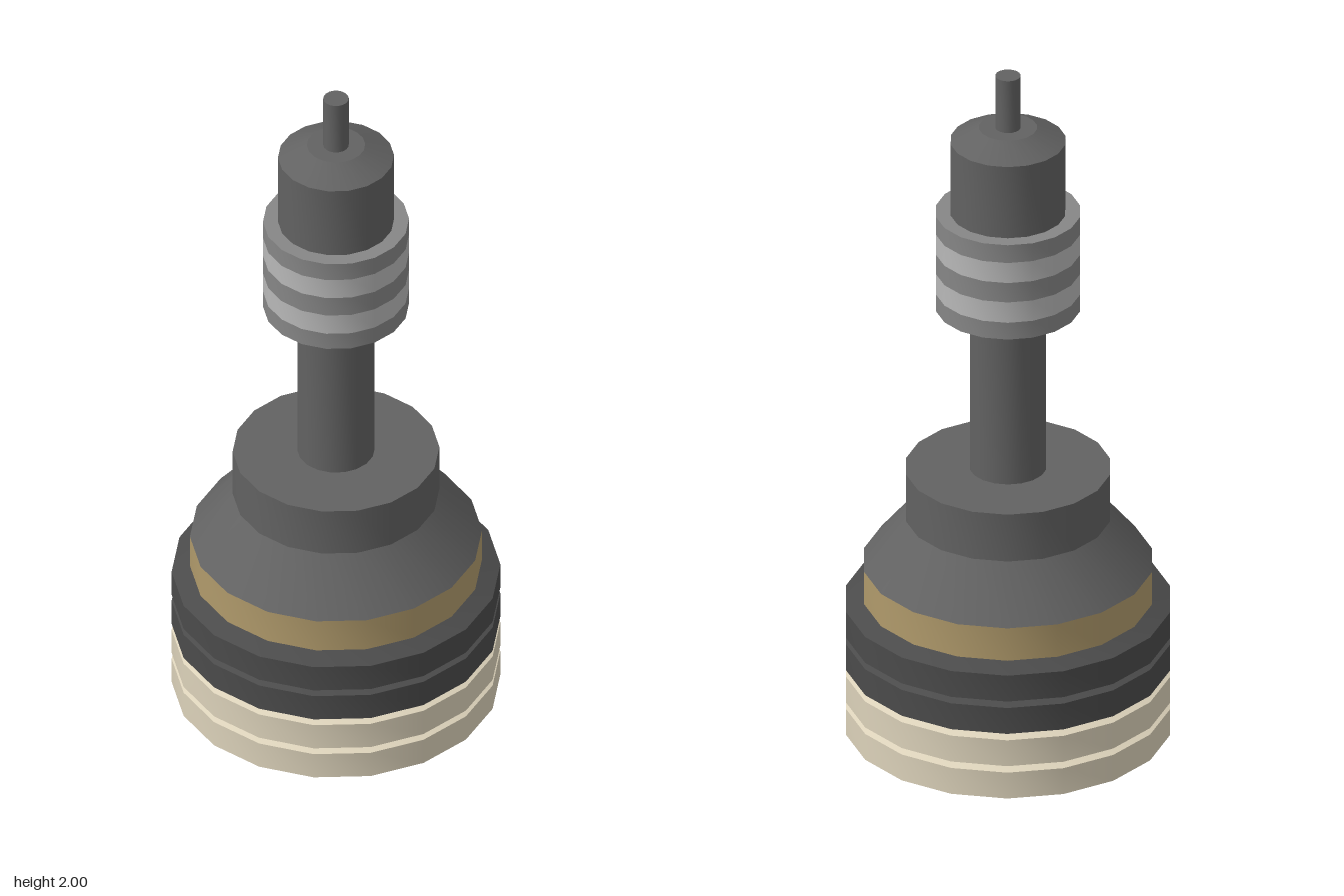
import * as THREE from 'three';
import { toCreasedNormals } from 'three/addons/utils/BufferGeometryUtils.js';

const SIDES = 18;

function material(name, color) {
  const m = new THREE.MeshStandardMaterial({ color });
  m.name = name;
  return m;
}

// Turned part: profile points [radius, height] run from bottom to top.
function turned(name, mat, profile) {
  const points = profile.map(([r, y]) => new THREE.Vector2(r, y));
  const lathe = new THREE.LatheGeometry(points, SIDES, Math.PI / 2);
  const mesh = new THREE.Mesh(toCreasedNormals(lathe, 0.42), mat);
  mesh.name = name;
  return mesh;
}

export function createModel() {
  const group = new THREE.Group();
  group.name = 'turnedSpindle';

  const body = material('body grey', 0x626262);
  const dark = material('dark grey', 0x4b4b4b);
  const cream = material('cream', 0xdcd2ba);
  const gold = material('dull gold', 0xb09a6b);
  const mid = material('mid grey', 0x868686);
  const light = material('light grey', 0xb8b8b8);

  // Base: four stacked discs with bevelled tops that leave narrow grooves
  [cream, cream, dark, dark].forEach((mat, i) => {
    const y = i * 0.1;
    group.add(turned(`baseDisc${i + 1}`, mat, [
      [i === 0 ? 0 : 0.4, y], [0.45, y], [0.45, y + 0.08], [0.4, y + 0.1],
    ]));
  });

  // Gold ring, sloping shoulder and hub
  group.add(turned('goldRing', gold, [[0.4, 0.4], [0.4, 0.5]]));
  group.add(turned('shoulder', body, [[0.4, 0.5], [0.28, 0.645]]));
  group.add(turned('hub', body, [[0.283, 0.645], [0.283, 0.79], [0.1, 0.79]]));

  // Stem and the flare under the collar
  group.add(turned('stem', body, [[0.106, 0.79], [0.106, 1.255]]));
  group.add(turned('collarFlare', body, [[0.106, 1.255], [0.2, 1.288]]));

  // Striped collar
  const bands = [1.288, 1.34, 1.403, 1.463, 1.525, 1.58];
  for (let i = 0; i < 5; i++) {
    const profile = [[0.2, bands[i]], [0.2, bands[i + 1]]];
    if (i === 4) profile.push([0.15, bands[5]]);
    group.add(turned(`collarBand${i + 1}`, i % 2 ? light : mid, profile));
  }

  // Bevelled head and tip pin
  group.add(turned('head', body, [
    [0.159, 1.58], [0.159, 1.8], [0.08, 1.84], [0.03, 1.84],
  ]));
  group.add(turned('tipPin', body, [[0.035, 1.84], [0.035, 2], [0, 2]]));

  return group;
}
